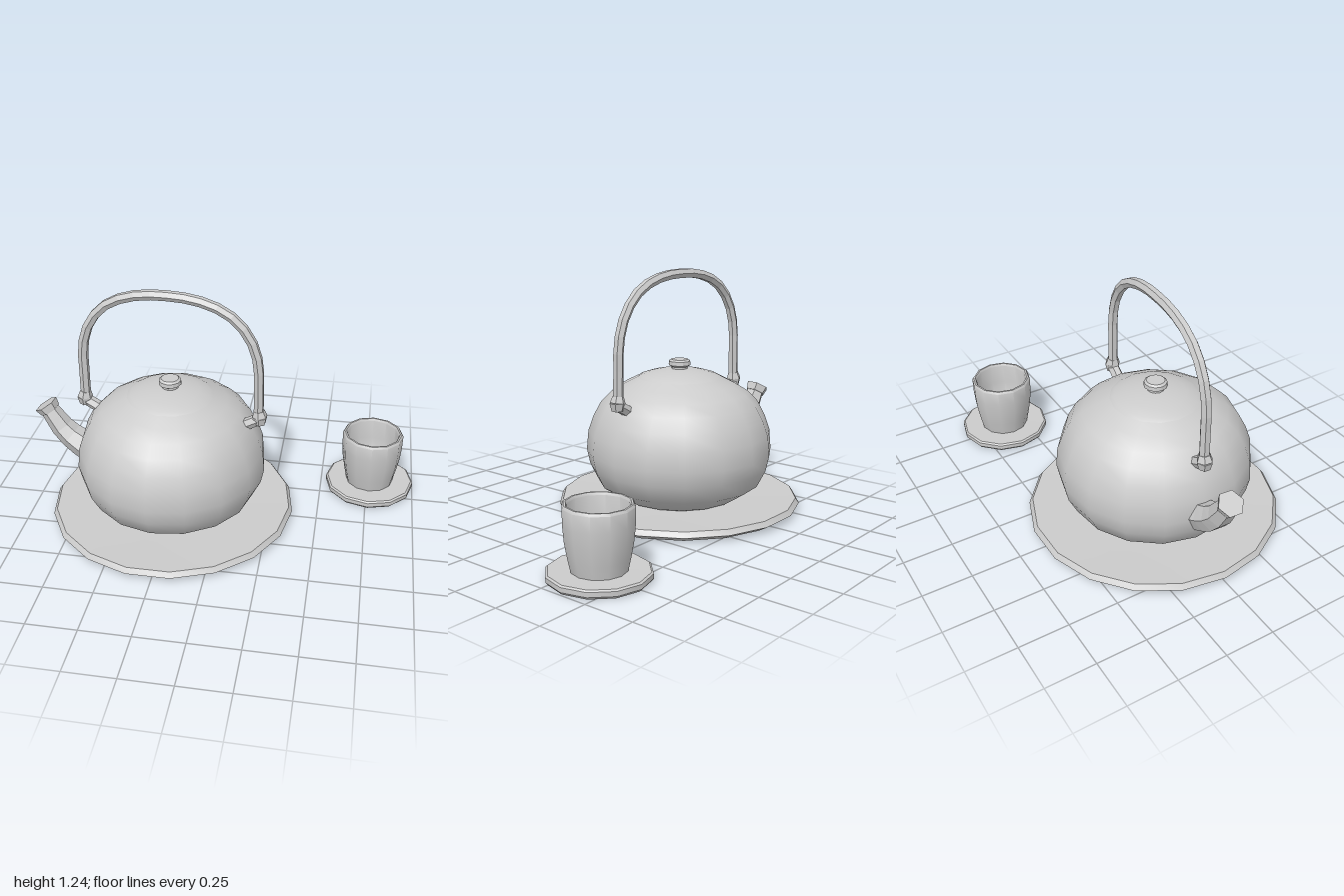
import * as THREE from 'three';
import { toCreasedNormals } from 'three/addons/utils/BufferGeometryUtils.js';

const smooth = new THREE.MeshStandardMaterial({ color: 0xcccccc });
const faceted = new THREE.MeshStandardMaterial({ color: 0xcccccc, flatShading: true });
const v = (x, y) => new THREE.Vector3(x, y, 0);

function named(name, geometry, material, parent) {
  const mesh = new THREE.Mesh(geometry, material);
  mesh.name = name;
  parent.add(mesh);
  return mesh;
}

// Turned part from [radius, height] pairs, keeping sharp rims crisp
function turned(name, profile, sides, crease, parent) {
  const points = profile.map(([r, y]) => new THREE.Vector2(r, y));
  const geometry = toCreasedNormals(new THREE.LatheGeometry(points, sides), crease);
  return named(name, geometry, smooth, parent);
}

// Cylinder stretched between two points
function rod(name, from, to, r0, r1, parent) {
  const mesh = named(name, new THREE.CylinderGeometry(r1, r0, from.distanceTo(to), 6), faceted, parent);
  mesh.position.copy(from).lerp(to, 0.5);
  mesh.quaternion.setFromUnitVectors(new THREE.Vector3(0, 1, 0), to.clone().sub(from).normalize());
  return mesh;
}

function makePot() {
  const pot = new THREE.Group();
  pot.name = 'teapot';

  // Squat body with a shallow lid on top
  turned('body', [[0, 0.035], [0.26, 0.035], [0.31, 0.055], [0.425, 0.13], [0.47, 0.22], [0.487, 0.3],
    [0.478, 0.4], [0.45, 0.48], [0.41, 0.555], [0.355, 0.61], [0.29, 0.65], [0.22, 0.685]], 16, 0.7, pot);
  turned('lid', [[0.22, 0.685], [0.2, 0.697], [0.15, 0.712], [0.1, 0.723], [0.05, 0.728], [0, 0.73]], 16, 0.7, pot);
  turned('lidKnob', [[0.042, 0.72], [0.042, 0.738], [0.058, 0.748], [0.056, 0.768], [0.045, 0.777], [0, 0.777]],
    12, 0.5, pot);

  // Curved spout, narrowing to the mouth
  const path = new THREE.CatmullRomCurve3([v(-0.38, 0.27), v(-0.475, 0.31), v(-0.58, 0.385), v(-0.64, 0.47), v(-0.675, 0.525)]);
  const steps = 6, sides = 6;
  const tube = new THREE.TubeGeometry(path, steps, 1, sides);
  const pos = tube.attributes.position;
  for (let i = 0; i < pos.count; i++) {
    const t = Math.floor(i / (sides + 1)) / steps;
    const centre = path.getPointAt(t);
    const p = new THREE.Vector3().fromBufferAttribute(pos, i);
    p.sub(centre).multiplyScalar(0.088 - 0.042 * t).add(centre);
    pos.setXYZ(i, p.x, p.y, p.z);
  }
  named('spout', tube, faceted, pot);
  rod('spoutMouth', v(-0.66, 0.503), v(-0.682, 0.537), 0.054, 0.064, pot);

  // Lugs carrying the handle on both sides
  for (const s of [-1, 1]) {
    rod('handleStub', v(s * 0.34, 0.535), v(s * 0.465, 0.605), 0.03, 0.03, pot);
    rod('handleLugBase', v(s * 0.458, 0.575), v(s * 0.458, 0.615), 0.03, 0.04, pot);
    rod('handleLugTop', v(s * 0.457, 0.615), v(s * 0.453, 0.648), 0.04, 0.028, pot);
  }

  // Tall arched handle
  const half = [[0.452, 0.61], [0.45, 0.76], [0.443, 0.92], [0.395, 1.05], [0.3, 1.15], [0.16, 1.205]];
  const arch = new THREE.CatmullRomCurve3([
    ...half.map(([x, y]) => v(-x, y)), v(0, 1.219), ...half.reverse().map(([x, y]) => v(x, y))]);
  named('handle', new THREE.TubeGeometry(arch, 22, 0.026, 6), faceted, pot);
  return pot;
}

export function createModel() {
  const model = new THREE.Group();
  model.name = 'teaSet';

  // Round tray with a bevelled, slightly raised rim
  const tray = turned('tray', [[0, 0], [0.585, 0], [0.636, 0.03], [0.618, 0.056], [0.3, 0.047], [0, 0.042]], 18, 0.4, model);
  tray.position.x = -0.265;
  tray.rotation.y = Math.PI / 18;

  const pot = makePot();
  pot.position.x = -0.265;
  pot.rotation.y = -0.065;
  model.add(pot);

  // Handleless cup on its saucer
  const cupSet = new THREE.Group();
  cupSet.name = 'cupAndSaucer';
  turned('saucer', [[0, 0], [0.227, 0], [0.237, 0.012], [0.237, 0.034], [0.228, 0.041], [0, 0.037]], 12, 0.55, cupSet);
  turned('cup', [[0, 0.036], [0.126, 0.036], [0.14, 0.1], [0.154, 0.18], [0.16, 0.25], [0.161, 0.326], [0.153, 0.338],
    [0.144, 0.338], [0.138, 0.326], [0.137, 0.22], [0.123, 0.12], [0.09, 0.075], [0, 0.062]], 12, 0.6, cupSet);
  cupSet.position.set(0.763, 0, -0.362);
  model.add(cupSet);
  return model;
}
